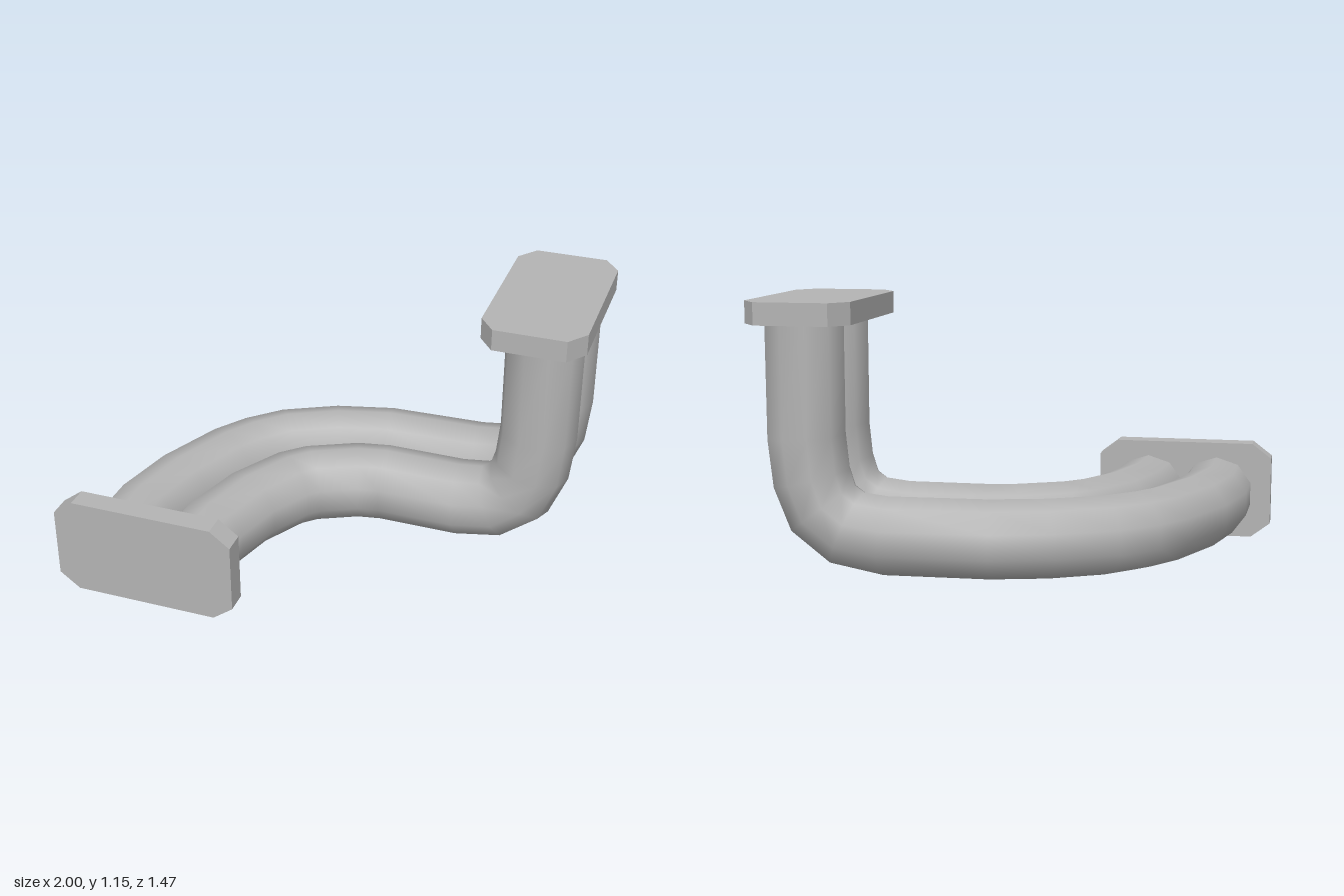
import * as THREE from 'three';

const RADIUS = 0.163, SIDES = 10, PIPE_Y = 0.2;

// Sweeps a ten-sided ring along a path, mitred at every bend
function sweepPipe(path) {
  const pos = [], index = [];
  const up = new THREE.Vector3(0, 1, 0);
  let side = new THREE.Vector3(1, 0, 0);
  path.forEach((p, i) => {
    const before = p.clone().sub(path[Math.max(i - 1, 0)]).normalize();
    const after = path[Math.min(i + 1, path.length - 1)].clone().sub(p).normalize();
    const t = before.add(after).normalize();
    const s = t.clone().cross(up);
    if (s.length() > 0.05) side = s.normalize();
    const u = side.clone().cross(t).normalize();
    for (let j = 0; j < SIDES; j++) {
      const a = Math.PI / 2 + (j / SIDES) * Math.PI * 2;
      const v = p.clone()
        .addScaledVector(side, RADIUS * Math.cos(a))
        .addScaledVector(u, RADIUS * Math.sin(a));
      pos.push(v.x, v.y, v.z);
    }
    if (i === path.length - 1) return;
    for (let j = 0; j < SIDES; j++) {
      const a = i * SIDES + j, b = i * SIDES + (j + 1) % SIDES;
      index.push(a, a + SIDES, b, b, a + SIDES, b + SIDES);
    }
  });
  const g = new THREE.BufferGeometry();
  g.setAttribute('position', new THREE.Float32BufferAttribute(pos, 3));
  g.setIndex(index);
  g.computeVertexNormals();
  return g;
}

// Plate with four cut corners, extruded along +z
function flangePlate(w, h, cx, cy, depth) {
  const x = w / 2, y = h / 2;
  const shape = new THREE.Shape([
    [x - cx, -y], [x, -y + cy], [x, y - cy], [x - cx, y],
    [-x + cx, y], [-x, y - cy], [-x, -y + cy], [-x + cx, -y],
  ].map(([a, b]) => new THREE.Vector2(a, b)));
  return new THREE.ExtrudeGeometry(shape, { depth, bevelEnabled: false });
}

export function createModel() {
  const model = new THREE.Group();
  model.name = 'twinPipeManifold';
  const metal = new THREE.MeshStandardMaterial({ color: 0xb4b4b4 });
  metal.name = 'grey metal';

  const add = (name, geometry, x = 0, y = 0, z = 0) => {
    const mesh = new THREE.Mesh(geometry, metal);
    mesh.name = name;
    mesh.position.set(x, y, z);
    model.add(mesh);
  };

  // Floor-level sweeps as [x, z]
  const outerRun = [[-0.755, 0.66], [-0.75, 0.42], [-0.69, 0.17], [-0.575, -0.09],
    [-0.49, -0.21], [-0.375, -0.32], [-0.17, -0.425], [0.06, -0.485]];
  const innerRun = [[-0.445, 0.66], [-0.425, 0.45], [-0.355, 0.21], [-0.24, 0.01],
    [-0.165, -0.06], [0.02, -0.15], [0.14, -0.173]];
  // Shared upward elbow as [x, y]
  const elbow = [[0.48, 0.2], [0.635, 0.225], [0.74, 0.305], [0.787, 0.43],
    [0.805, 0.6], [0.805, 1.08]];

  const pipe = (run, z) => sweepPipe([
    ...run.map(([x, rz]) => new THREE.Vector3(x, PIPE_Y, rz)),
    ...elbow.map(([x, y]) => new THREE.Vector3(x, y, z)),
  ]);
  add('outerPipe', pipe(outerRun, -0.5));
  add('innerPipe', pipe(innerRun, -0.172));

  // Mounting flanges
  add('frontFlange', flangePlate(0.78, 0.43, 0.085, 0.065, 0.093), -0.61, 0.215, 0.639);
  add('topFlange', flangePlate(0.43, 0.775, 0.065, 0.085, 0.09).rotateX(-Math.PI / 2),
    0.782, 1.06, -0.347);

  return model;
}
